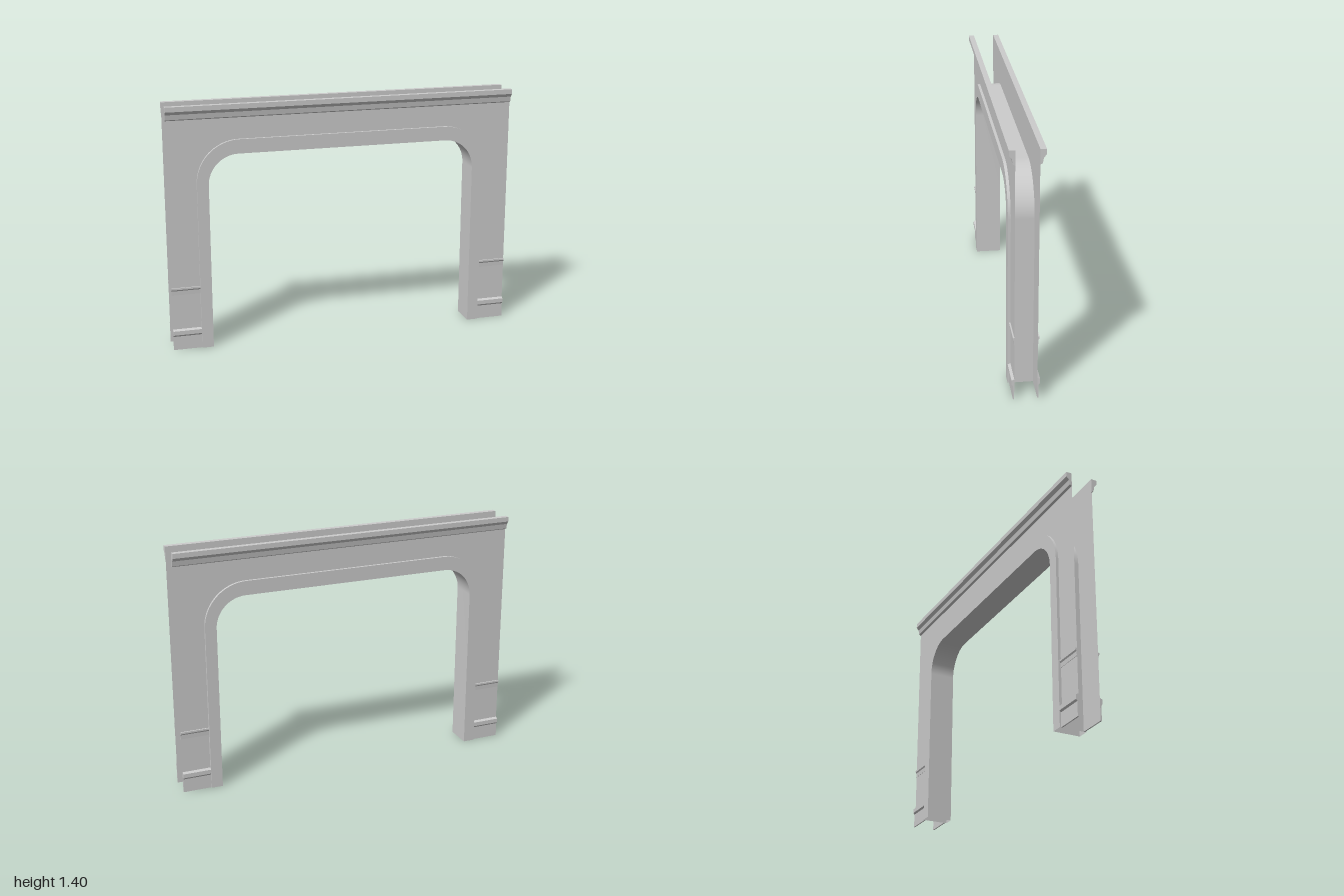
import * as THREE from 'three';

const WALL_Z = 0.061, TRIM_Z = 0.076, HEIGHT = 1.4;
const material = new THREE.MeshStandardMaterial({ color: 0xcccccc, side: THREE.DoubleSide });

function addMesh(parent, name, geometry) {
  const mesh = new THREE.Mesh(geometry, material);
  mesh.name = name;
  parent.add(mesh);
  return mesh;
}

// Rounded opening outline, from the foot of the left leg over to the right leg
function archPoints(halfWidth, top, radius, steps = 16) {
  const half = [new THREE.Vector2(halfWidth, 0)];
  for (let i = 0; i <= steps; i++) {
    const a = (i / steps) * Math.PI / 2;
    half.push(new THREE.Vector2(
      halfWidth - radius + Math.cos(a) * radius,
      top - radius + Math.sin(a) * radius));
  }
  const mirrored = half.map(p => new THREE.Vector2(-p.x, p.y)).reverse();
  return half.concat(mirrored);
}

// Surface strip between two outlines, each at its own depth
function ribbon(a, za, b, zb) {
  const positions = [], index = [];
  a.forEach((p, i) => {
    positions.push(p.x, p.y, za, b[i].x, b[i].y, zb);
    if (i < a.length - 1) {
      const k = i * 2;
      index.push(k, k + 1, k + 2, k + 1, k + 3, k + 2);
    }
  });
  const geometry = new THREE.BufferGeometry();
  geometry.setAttribute('position', new THREE.Float32BufferAttribute(positions, 3));
  geometry.setIndex(index);
  geometry.computeVertexNormals();
  return geometry;
}

// Moulding with a (z, y) profile, running along x between x0 and x1
function moulding(profile, x0, x1) {
  const shape = new THREE.Shape(profile.map(([z, y]) => new THREE.Vector2(z, y)));
  const geometry = new THREE.ExtrudeGeometry(shape, { depth: x1 - x0, bevelEnabled: false });
  return geometry.rotateY(-Math.PI / 2).translate(x1, 0, 0);
}

const CORNICE = [
  [WALL_Z, 1.4], [WALL_Z, 1.32], [0.073, 1.327], [0.078, 1.355], [0.0925, 1.373], [0.0925, 1.4],
];
const RAIL = [
  [WALL_Z, 0.368], [WALL_Z, 0.325], [0.063, 0.325], [0.064, 0.35], [0.069, 0.358], [0.069, 0.368],
];
const BASEBOARD = [
  [WALL_Z, 0.122], [WALL_Z, 0], [0.068, 0], [0.068, 0.08], [0.0755, 0.09], [0.0755, 0.114],
];

export function createModel() {
  const model = new THREE.Group();
  model.name = 'archway';

  const outer = archPoints(0.838, 1.2, 0.24);
  const inner = archPoints(0.773, 1.12, 0.17);

  // Hollow casing around the opening, open at the feet
  const casing = new THREE.Group();
  casing.name = 'archCasing';
  addMesh(casing, 'casingInside', ribbon(inner, -TRIM_Z, inner, TRIM_Z));
  addMesh(casing, 'casingOutside', ribbon(outer, TRIM_Z, outer, -TRIM_Z));
  addMesh(casing, 'casingFront', ribbon(inner, TRIM_Z, outer, TRIM_Z));
  addMesh(casing, 'casingBack', ribbon(outer, -TRIM_Z, inner, -TRIM_Z));
  model.add(casing);

  // Each face: thin wall sheet, cornice, and the mouldings on both legs
  for (const [name, turn] of [['frontFace', 0], ['backFace', Math.PI]]) {
    const face = new THREE.Group();
    face.name = name;
    face.rotation.y = turn;

    const wall = new THREE.Shape([
      new THREE.Vector2(1, 0), new THREE.Vector2(1, HEIGHT),
      new THREE.Vector2(-1, HEIGHT), new THREE.Vector2(-1, 0),
      ...outer.slice().reverse(),
    ]);
    addMesh(face, 'wall', new THREE.ShapeGeometry(wall).translate(0, 0, WALL_Z));
    addMesh(face, 'cornice', moulding(CORNICE, -1, 1));

    for (const [side, x0, x1] of [['left', 0.838, 1], ['right', -1, -0.838]]) {
      addMesh(face, side + 'Rail', moulding(RAIL, x0, x1));
      addMesh(face, side + 'Baseboard', moulding(BASEBOARD, x0, x1));
    }
    model.add(face);
  }
  return model;
}
